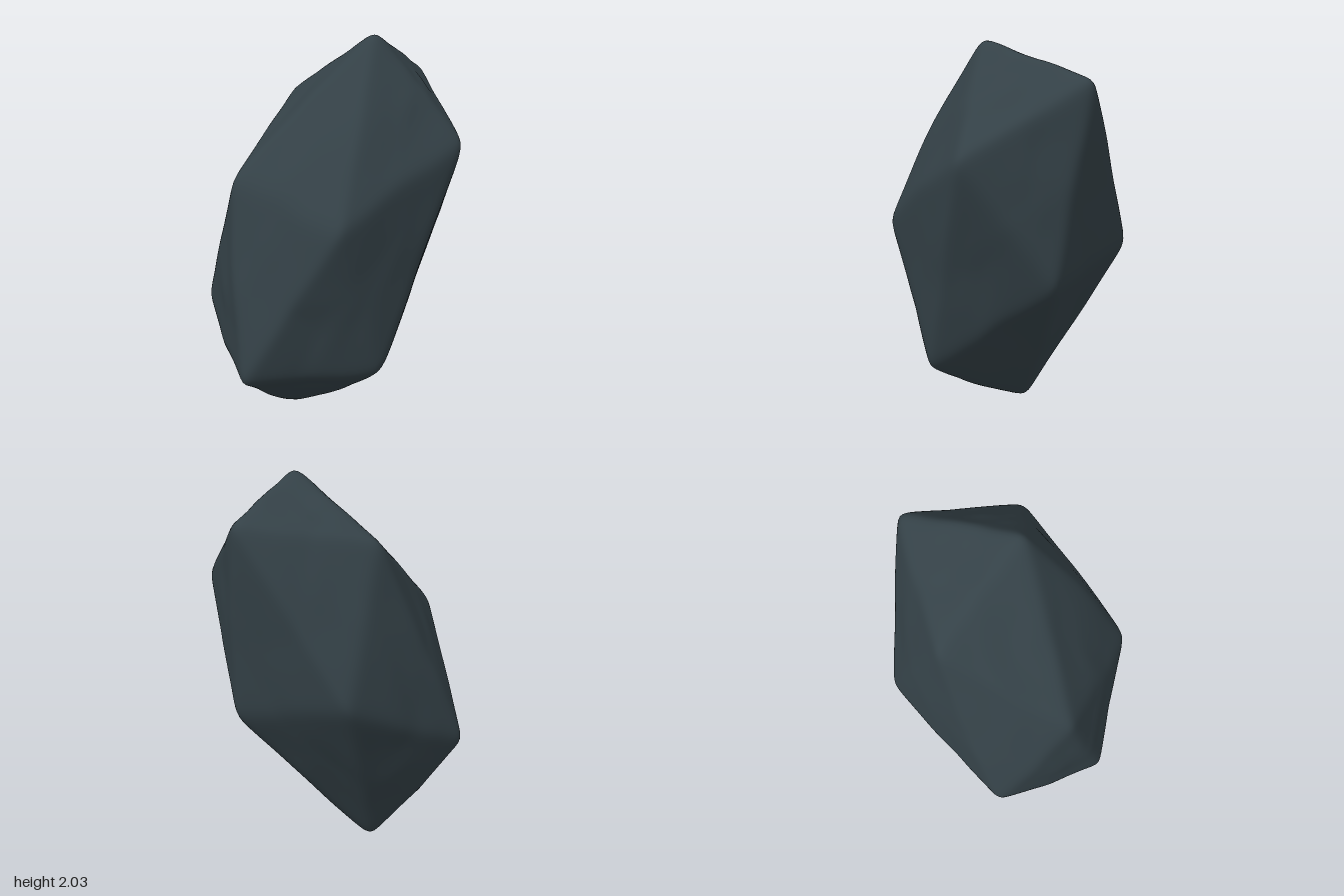
import * as THREE from 'three';
import { mergeVertices } from 'three/addons/utils/BufferGeometryUtils.js';

const SHARPNESS = 48; // higher gives crisper ridges
const PHI = (1 + Math.sqrt(5)) / 2;
const V = (x, y, z) => new THREE.Vector3(x, y, z);

// Smooth wavy field used for the weathered bumps, about -1..1
function waves(p, f, s) {
  return (Math.sin(f * p.x + 1.7 * Math.sin(f * 0.7 * p.y + s) + s)
    + Math.sin(f * p.y + 1.7 * Math.sin(f * 0.7 * p.z + 2 * s) + 2.3 * s)
    + Math.sin(f * p.z + 1.7 * Math.sin(f * 0.7 * p.x + 3 * s) + 4.1 * s)) / 3;
}

// Outward unit normals of the twenty main facets
function facetNormals() {
  const pos = new THREE.IcosahedronGeometry(1, 0).toNonIndexed().attributes.position;
  const normals = [];
  for (let i = 0; i < pos.count; i += 3) {
    const n = V(0, 0, 0);
    for (let k = 0; k < 3; k++) n.add(V().fromBufferAttribute(pos, i + k));
    normals.push(n.normalize());
  }
  return normals;
}

// Six corners of the regular solid: the top one and the ring around it
const top = V(0, 1, PHI).normalize();
const corners = [top, V(1, PHI, 0).normalize(), V(-1, PHI, 0).normalize()];
let before = corners[2];
let last = corners[1];
for (let i = 0; i < 3; i++) {
  const next = last.clone().add(top).divideScalar(PHI).sub(before);
  before = last;
  last = next;
  corners.push(next);
}

// Skews the regular solid so three neighbouring corners land on the crystal's own
const skew = new THREE.Matrix4()
  .makeBasis(V(0.205, 1.0, 0.115), V(0.67, 0.45, 0.2), V(0.53, 0.81, -0.44))
  .multiply(new THREE.Matrix4().makeBasis(corners[0], corners[1], corners[2]).invert());

// Local wear: [direction, shift] for every corner, then for two swollen ridges
const wear = [
  [corners[0], V(0, 0, 0)],
  [corners[1], V(-0.008, -0.02, 0.01)],
  [corners[2], V(0, 0, 0)],
  [corners[3], V(-0.02, -0.06, -0.012)],
  [corners[4], V(0.01, 0.03, -0.03)],
  [corners[5], V(0.03, 0.03, 0.03)],
  [corners[0].clone().negate(), V(0.02, 0, 0.02)],
  [corners[1].clone().negate(), V(0.005, 0.03, 0.025)],
  [corners[2].clone().negate(), V(0.04, 0.05, 0.015)],
  [corners[3].clone().negate(), V(0, 0, 0.007)],
  [corners[4].clone().negate(), V(0, 0, 0)],
  [corners[5].clone().negate(), V(0, -0.04, 0)],
  [corners[3].clone().addScaledVector(top, 0.7).normalize(), V(0, 0.015, 0.03)],
  [corners[5].clone().add(top).negate().normalize(), V(0.01, -0.04, 0.01)],
];

function rockGeometry() {
  let geo = new THREE.IcosahedronGeometry(1, 32);
  geo.deleteAttribute('normal');
  geo.deleteAttribute('uv');
  geo = mergeVertices(geo, 1e-4);
  const normals = facetNormals();
  const pos = geo.attributes.position;
  const d = V();
  const w = V();
  const shift = V();

  // Radius of the soft intersection of all facet planes
  const radius = (dir) => {
    let sum = 0;
    for (const n of normals) sum += Math.pow(Math.max(0, n.dot(dir)), SHARPNESS);
    return Math.pow(sum, -1 / SHARPNESS);
  };
  const cornerRadius = radius(top);

  for (let i = 0; i < pos.count; i++) {
    d.fromBufferAttribute(pos, i).normalize();
    // Gather the wear; bumps and bent ridges fade out towards it
    let calm = 0;
    shift.set(0, 0, 0);
    for (const [dir, move] of wear) {
      const near = Math.exp((d.dot(dir) - 1) / 0.12);
      calm = Math.max(calm, near);
      shift.addScaledVector(move, near);
    }
    const rough = 1 - calm;
    w.set(waves(d, 6, 0.4), waves(d, 6, 1.9), waves(d, 6, 3.3));
    w.multiplyScalar(0.045 * rough).add(d).normalize();
    const bumps = 0.012 * waves(d, 7, 0.8) + 0.008 * waves(d, 13, 2.1);
    const r = radius(w) / cornerRadius * (1 + rough * bumps);
    d.multiplyScalar(r).applyMatrix4(skew).add(shift);
    pos.setXYZ(i, d.x, d.y + 1, d.z);
  }
  geo.computeVertexNormals();
  return geo;
}

export function createModel() {
  const slate = new THREE.MeshStandardMaterial({ color: 0x344147 });
  slate.name = 'darkSlate';
  const rock = new THREE.Mesh(rockGeometry(), slate);
  rock.name = 'rock';
  const group = new THREE.Group();
  group.name = 'boulder';
  group.add(rock);
  return group;
}
